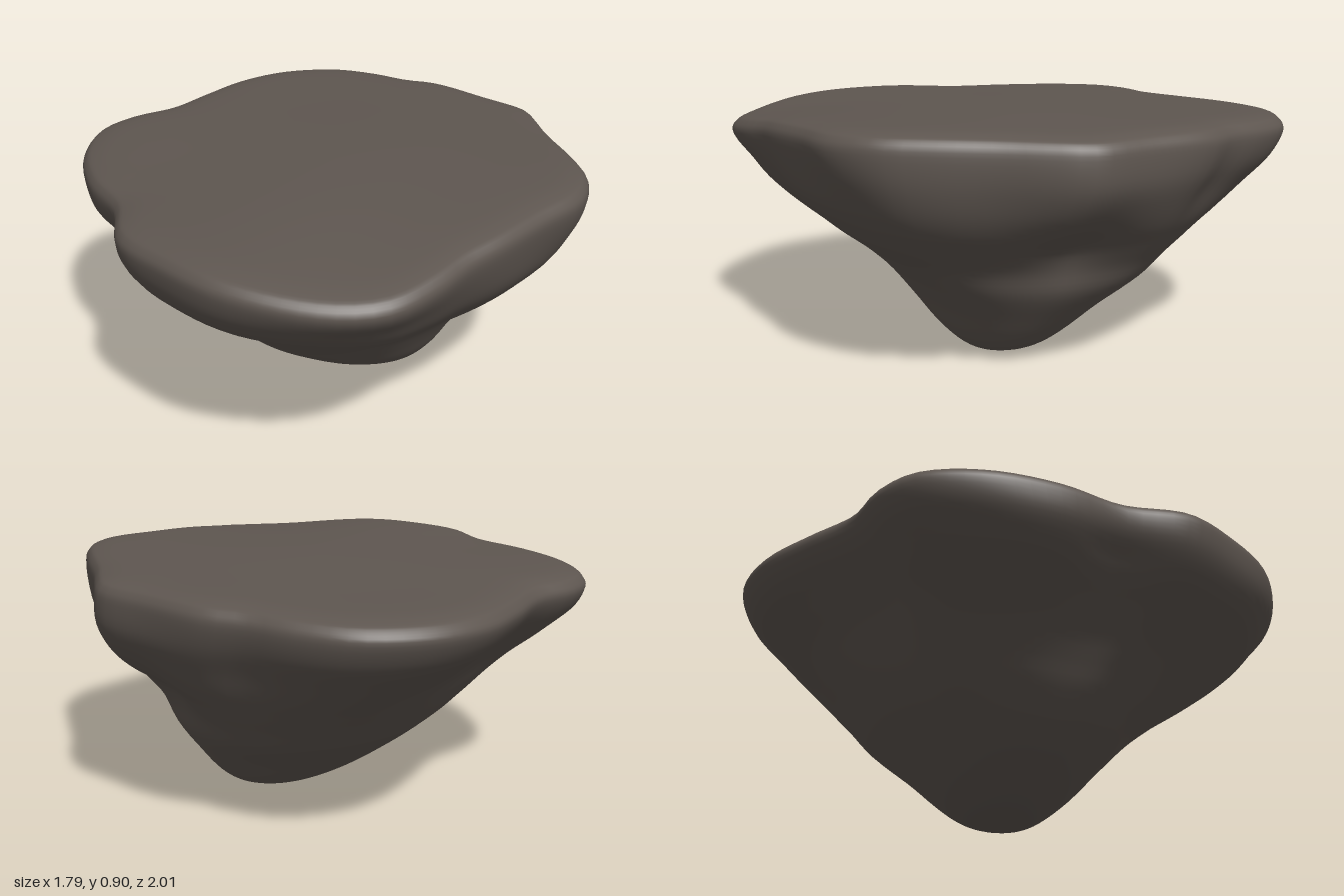
import * as THREE from 'three';

// Plan outline of the rim, as [x, z]
const RIM = [
  [0.895, -0.05], [0.87, 0.05], [0.81, 0.22], [0.75, 0.45], [0.69, 0.61], [0.57, 0.73], [0.37, 0.8], [0.17, 0.87],
  [0.02, 0.91], [-0.12, 0.965], [-0.3, 1.0], [-0.5, 0.93], [-0.72, 0.74], [-0.84, 0.5], [-0.9, 0.29], [-0.85, 0.05],
  [-0.87, -0.2], [-0.83, -0.46], [-0.72, -0.66], [-0.58, -0.74], [-0.4, -0.77], [-0.2, -0.88],
  [0, -0.975], [0.22, -1.0], [0.44, -0.92], [0.57, -0.77], [0.65, -0.62], [0.74, -0.51], [0.83, -0.26],
];

// Cross-sections from the middle of the top, over the rim, down to the tip:
// [y, x min, x max, z min, z max, how much of the rim outline remains]
const LEVELS = [
  [0.885, 0, 0, 0, 0, 1],
  [0.885, -0.4, 0.4, -0.45, 0.45, 1],
  [0.882, -0.74, 0.74, -0.82, 0.82, 1],
  [0.87, -0.85, 0.845, -0.945, 0.945, 1],
  [0.851, -0.887, 0.88, -0.985, 0.985, 1],
  [0.81, -0.9, 0.895, -1.0, 1.0, 1],
  [0.72, -0.88, 0.89, -0.945, 0.965, 0.97],
  [0.63, -0.815, 0.85, -0.85, 0.91, 0.9],
  [0.55, -0.705, 0.785, -0.76, 0.825, 0.8],
  [0.47, -0.61, 0.69, -0.67, 0.715, 0.6],
  [0.39, -0.54, 0.615, -0.575, 0.59, 0.4],
  [0.3, -0.47, 0.575, -0.475, 0.475, 0.25],
  [0.2, -0.365, 0.505, -0.355, 0.385, 0.15],
  [0.1, -0.2, 0.425, -0.225, 0.305, 0.1],
  [0.035, -0.03, 0.35, -0.11, 0.23, 0],
  [0.008, 0.09, 0.275, 0.0, 0.17, 0],
  [0, 0.19, 0.19, 0.1, 0.1, 0],
];

// Hollows (negative) and bulges (positive) in the sides: [x, y, z, radius, amount]
const DENTS = [
  [0.68, 0.5, -0.05, 0.13, -0.045], [0.55, 0.62, 0.62, 0.2, -0.025],
  [-0.5, 0.5, -0.5, 0.2, -0.015], [-0.85, 0.65, 0.02, 0.15, -0.03],
  [0.45, 0.36, -0.35, 0.25, 0.05], [-0.35, 0.36, 0.42, 0.25, 0.025],
];

const SEGMENTS = 112;
const STEPS = 4;

const gauss = (d2, r) => Math.exp(-d2 / (r * r));

// Gentle tilt of the top, a low lip at the front and faint ripples
function topOffset(x, z) {
  return 0.018 * x + 0.016 * z
    - 0.05 * gauss((x + 0.35) ** 2 + (z - 1) ** 2, 0.42)
    + 0.004 * Math.sin(4 * x + 1) * Math.cos(5 * z);
}

function rockGeometry() {
  const rim = new THREE.CatmullRomCurve3(RIM.map(([x, z]) => new THREE.Vector3(x, 0, z)), true)
    .getSpacedPoints(SEGMENTS).slice(0, SEGMENTS);
  const columns = LEVELS[0].map((_, c) =>
    new THREE.SplineCurve(LEVELS.map((row, k) => new THREE.Vector2(k, row[c]))));
  const rings = (LEVELS.length - 1) * STEPS;
  const positions = [], index = [];

  const addPoint = (p, t) => {
    const [y, x0, x1, z0, z1, keep] = columns.map((c) => c.getPoint(t).y);
    // Blend the rim outline into an ellipse, then fit it to this level's extents
    const a = Math.atan2(p.z, p.x / 0.9);
    const u = THREE.MathUtils.lerp(Math.cos(a), p.x / 0.9, keep);
    const v = THREE.MathUtils.lerp(Math.sin(a), p.z, keep);
    let x = x0 + (x1 - x0) * (u + 1) / 2;
    let z = z0 + (z1 - z0) * (v + 1) / 2;
    const high = THREE.MathUtils.smoothstep(y, 0.65, 0.83);
    const side = (1 - high) * THREE.MathUtils.smoothstep(y, 0.02, 0.25);
    let push = 0.006 * (Math.sin(7 * x + 9 * y) + Math.sin(8 * z - 7 * y + 2));
    for (const [dx, dy, dz, r, amount] of DENTS) {
      push += amount * gauss((x - dx) ** 2 + (y - dy) ** 2 + (z - dz) ** 2, r);
    }
    x += side * push * Math.cos(a);
    z += side * push * Math.sin(a);
    positions.push(x, y + high * topOffset(x, z), z);
  };

  // One vertex at the middle of the top, the rings, one vertex at the tip
  addPoint(rim[0], 0);
  for (let r = 1; r < rings; r++) rim.forEach((p) => addPoint(p, r / rings));
  addPoint(rim[0], 1);

  const tip = positions.length / 3 - 1;
  const at = (r, i) => (r === 0 ? 0 : r === rings ? tip : 1 + (r - 1) * SEGMENTS + (i % SEGMENTS));
  for (let r = 0; r < rings; r++) {
    for (let i = 0; i < SEGMENTS; i++) {
      if (r > 0) index.push(at(r, i), at(r, i + 1), at(r + 1, i));
      if (r < rings - 1) index.push(at(r, i + 1), at(r + 1, i + 1), at(r + 1, i));
    }
  }
  const geometry = new THREE.BufferGeometry();
  geometry.setAttribute('position', new THREE.Float32BufferAttribute(positions, 3));
  geometry.setIndex(index);
  geometry.computeVertexNormals();
  return geometry;
}

export function createModel() {
  const stone = new THREE.MeshStandardMaterial({ color: 0x5e5650 });
  stone.name = 'darkStone';
  const rock = new THREE.Mesh(rockGeometry(), stone);
  rock.name = 'floatingRock';
  const model = new THREE.Group();
  model.name = 'flatToppedRock';
  model.add(rock);
  return model;
}
